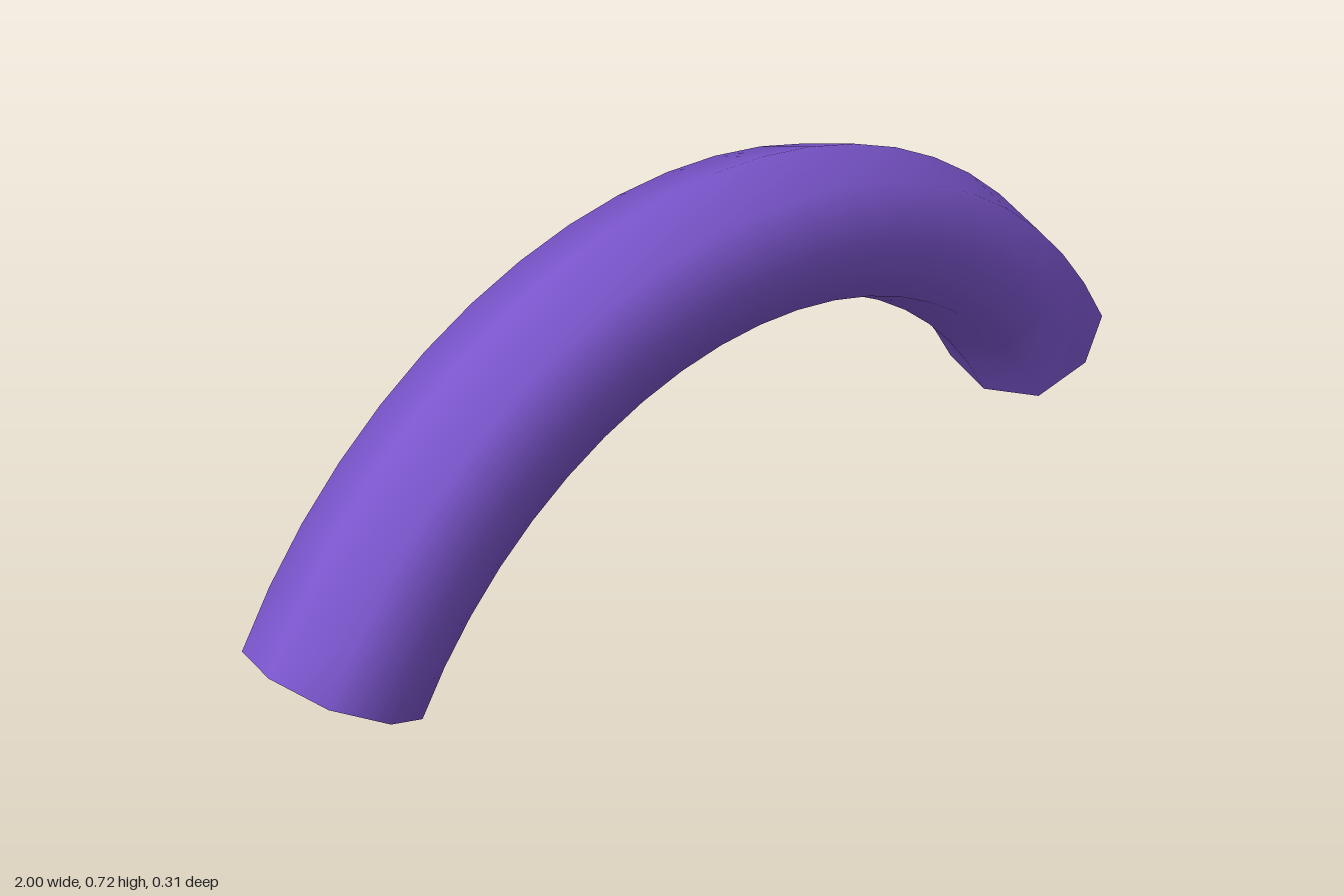
import * as THREE from 'three';
import { mergeVertices } from 'three/addons/utils/BufferGeometryUtils.js';

export function createModel() {
  const group = new THREE.Group();
  group.name = 'archedTube';

  // Eight-sided, slightly deep cross-section, swept around the arch centre
  const radius = 1.0173, halfHeight = 0.1435, halfDepth = 0.154, shoulder = 0.753;
  const ring = [[1, 0], [shoulder, shoulder], [0, 1], [-shoulder, shoulder],
    [-1, 0], [-shoulder, -shoulder], [0, -1], [shoulder, -shoulder], [1, 0]];
  const profile = ring.map(([r, d]) => new THREE.Vector2(radius + r * halfHeight, d * halfDepth));

  // Open arc, symmetric about the top
  const halfArc = THREE.MathUtils.degToRad(59.5);
  let geometry = new THREE.LatheGeometry(profile, 20, -halfArc, 2 * halfArc);
  geometry.rotateX(-Math.PI / 2);
  geometry.translate(0, -0.4435, 0);

  // Weld the lengthwise seam so the shading stays smooth all round
  geometry.deleteAttribute('uv');
  geometry.deleteAttribute('normal');
  geometry = mergeVertices(geometry, 1e-4);
  geometry.computeVertexNormals();

  const tube = new THREE.Mesh(geometry, new THREE.MeshStandardMaterial({
    color: 0x7a55cc, side: THREE.DoubleSide,
  }));
  tube.name = 'tube';
  group.add(tube);
  return group;
}
